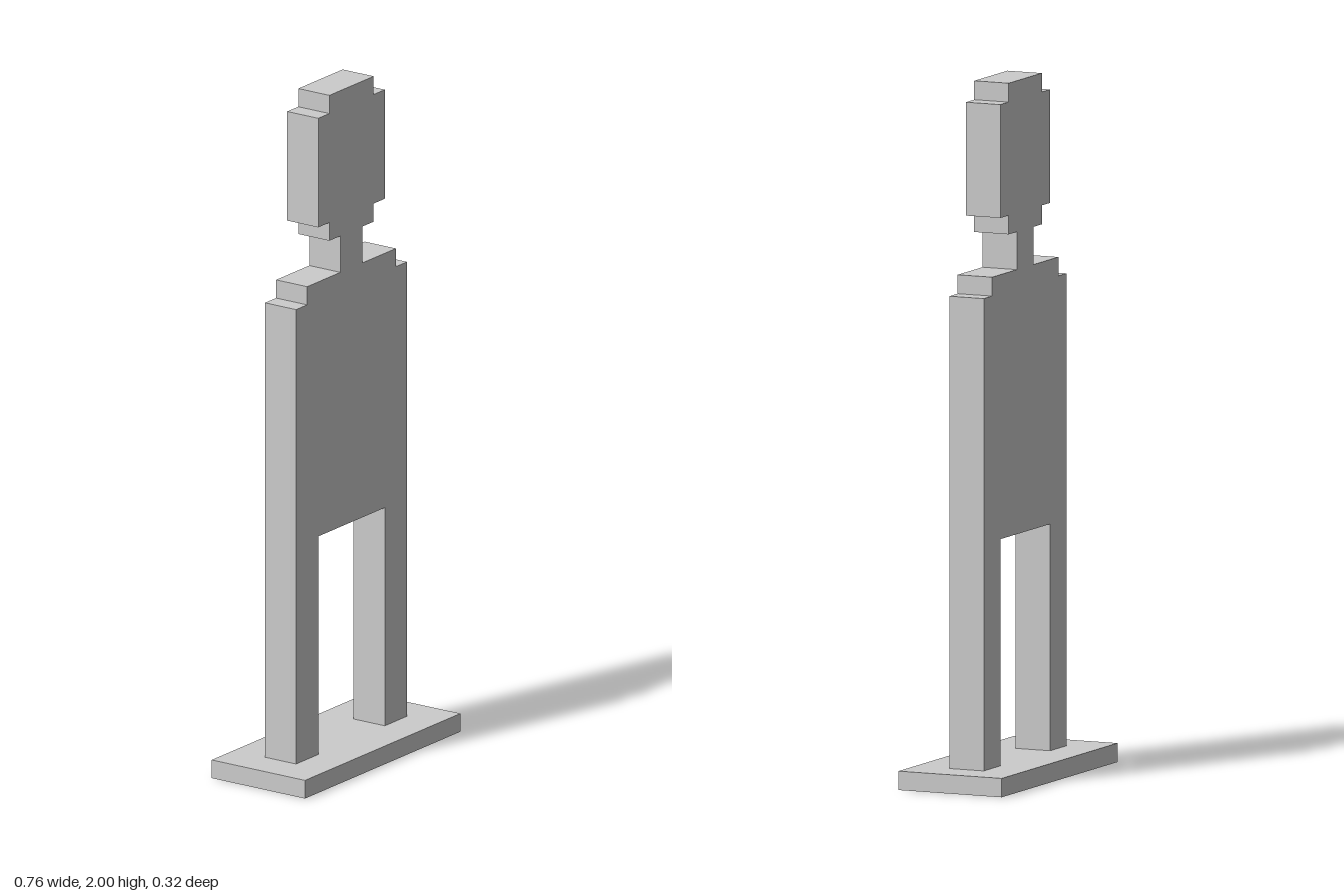
import * as THREE from 'three';

// Everything sits on a square grid, 37 cells tall
const U = 2 / 37;

export function createModel() {
  const group = new THREE.Group();
  const material = new THREE.MeshStandardMaterial({ color: 0xcccccc, flatShading: true });

  const add = (name, geometry) => {
    const mesh = new THREE.Mesh(geometry, material);
    mesh.name = name;
    group.add(mesh);
  };

  // Flat base plate
  add('base', new THREE.BoxGeometry(14 * U, U, 6 * U).translate(0, U / 2, 0));

  // Left half of the stepped figure outline, in grid cells
  const half = [
    [3, 13], [3, 1], [5, 1],                    // leg
    [5, 26], [4, 26], [4, 27],                  // torso and shoulder
    [1, 27], [1, 29],                           // neck
    [2, 29], [2, 30], [3, 30], [3, 36], [2, 36], [2, 37], // head
  ];
  const mirrored = half.map(([x, y]) => [-x, y]).reverse();
  const outline = [...half, ...mirrored].map(([x, y]) => new THREE.Vector2(x * U, y * U));

  // Standing figure, cut from one board two cells thick
  const figure = new THREE.ExtrudeGeometry(new THREE.Shape(outline), {
    depth: 2 * U,
    bevelEnabled: false,
  });
  add('figure', figure.translate(0, 0, -U));

  return group;
}
